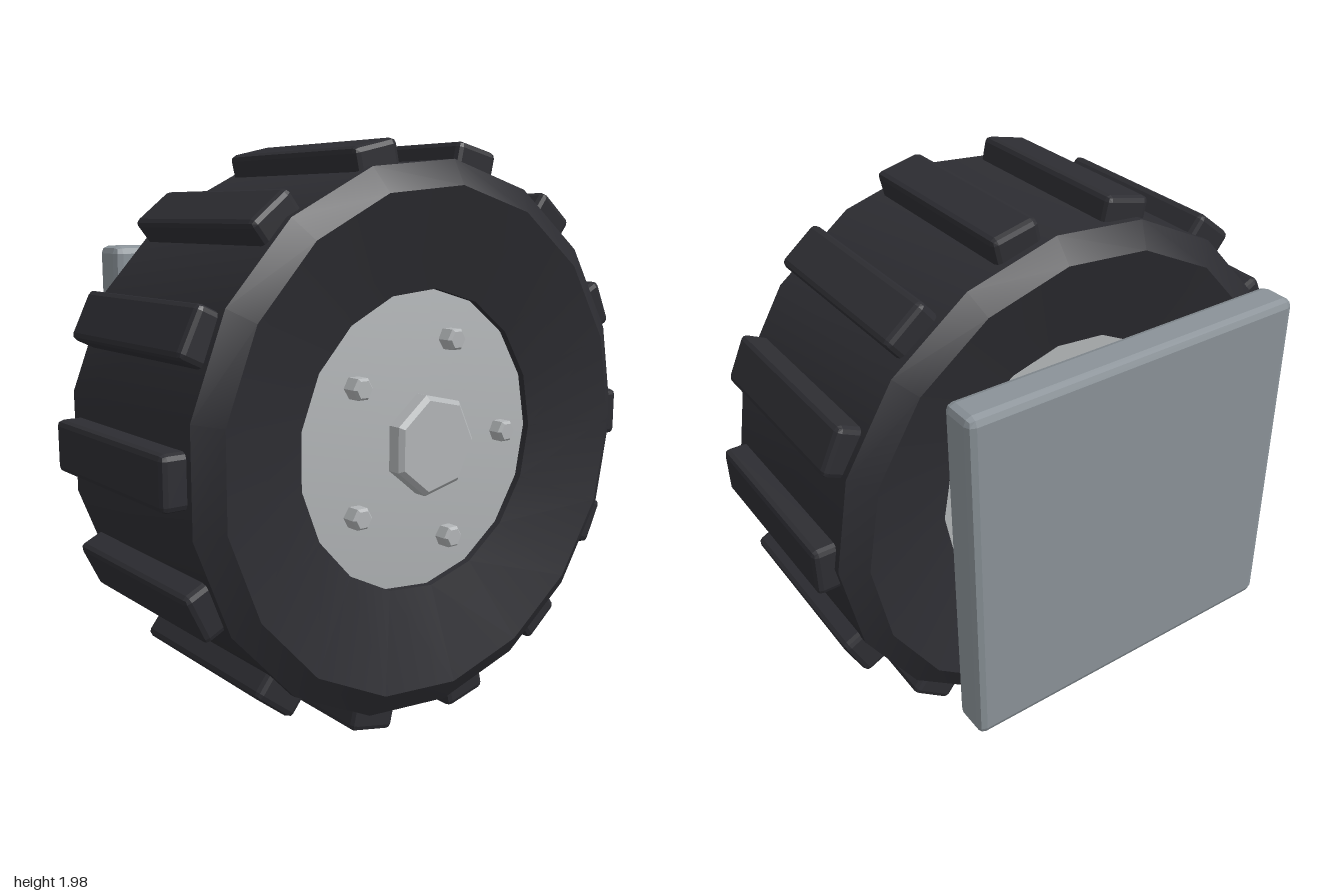
import * as THREE from 'three';
import { toCreasedNormals } from 'three/addons/utils/BufferGeometryUtils.js';
import { RoundedBoxGeometry } from 'three/addons/geometries/RoundedBoxGeometry.js';

const material = (name, color) => {
  const m = new THREE.MeshStandardMaterial({ color });
  m.name = name;
  return m;
};

// Solid of revolution around x; the profile is a list of [x, radius]
function turned(profile, sides) {
  const points = profile.map(([x, r]) => new THREE.Vector2(r, x));
  const g = new THREE.LatheGeometry(points, sides, Math.PI);
  g.rotateZ(-Math.PI / 2);
  return toCreasedNormals(g, 0.42);
}

// Box with every edge chamfered and flat faces
function chamferBox(w, h, d, bevel) {
  const g = new RoundedBoxGeometry(w, h, d, 1, bevel);
  g.computeVertexNormals();
  return g;
}

function part(parent, name, geometry, mat) {
  const mesh = new THREE.Mesh(geometry, mat);
  mesh.name = name;
  parent.add(mesh);
  return mesh;
}

export function createModel() {
  const rubber = material('dark rubber', 0x2d2d32);
  const plateGrey = material('blue grey metal', 0x8a9298);
  const rimGrey = material('light grey metal', 0xb2b5b7);

  const model = new THREE.Group();
  model.name = 'wheelAssembly';
  const wheel = new THREE.Group();
  wheel.name = 'wheel';
  wheel.position.y = 0.99;
  model.add(wheel);

  // Tyre with chamfered shoulders and dished sidewalls
  part(wheel, 'tyre', turned([
    [-0.2, 0.515], [-0.295, 0.85], [-0.24, 0.935], [0.525, 0.935],
    [0.58, 0.85], [0.49, 0.515], [-0.2, 0.515],
  ], 17), rubber);

  // Tread lugs
  const lugCount = 14;
  const lugGeometry = chamferBox(0.715, 0.175, 0.11, 0.02);
  lugGeometry.translate(0.1425, 0, 0.945);
  for (let i = 0; i < lugCount; i++) {
    part(wheel, 'treadLug', lugGeometry, rubber).rotation.x = (i / lugCount) * Math.PI * 2;
  }

  // Slightly domed rim filling the tyre
  part(wheel, 'rim', turned([
    [-0.15, 0], [-0.15, 0.515], [0.465, 0.515], [0.515, 0],
  ], 17), rimGrey);

  // Hub cap
  part(wheel, 'hubCap', turned([
    [0.45, 0.175], [0.545, 0.175], [0.56, 0.158], [0.56, 0],
  ], 7), rimGrey);

  // Wheel bolts
  const boltGeometry = turned([
    [0.45, 0.04], [0.525, 0.04], [0.535, 0.031], [0.535, 0],
  ], 6);
  for (let i = 0; i < 5; i++) {
    const a = (i / 5) * Math.PI * 2;
    part(wheel, 'bolt', boltGeometry, rimGrey)
      .position.set(0, 0.36 * Math.sin(a), -0.36 * Math.cos(a));
  }

  // Tapered axle between rim and mounting plate
  part(wheel, 'axle', turned([
    [-0.46, 0], [-0.46, 0.24], [-0.14, 0.185], [-0.14, 0],
  ], 17), plateGrey);

  // Four diagonal support arms leaning in towards the rim
  const armGeometry = chamferBox(0.34, 0.17, 0.08, 0.015);
  for (let i = 0; i < 4; i++) {
    const pivot = new THREE.Group();
    pivot.name = 'supportArm';
    pivot.rotation.x = Math.PI / 4 + (i * Math.PI) / 2;
    const arm = part(pivot, 'arm', armGeometry, rubber);
    arm.position.set(-0.29, 0.4, 0);
    arm.rotation.z = -0.32;
    wheel.add(pivot);
  }

  // Square mounting plate
  part(wheel, 'mountingPlate', chamferBox(0.14, 1.285, 1.285, 0.028), plateGrey)
    .position.x = -0.515;

  return model;
}
